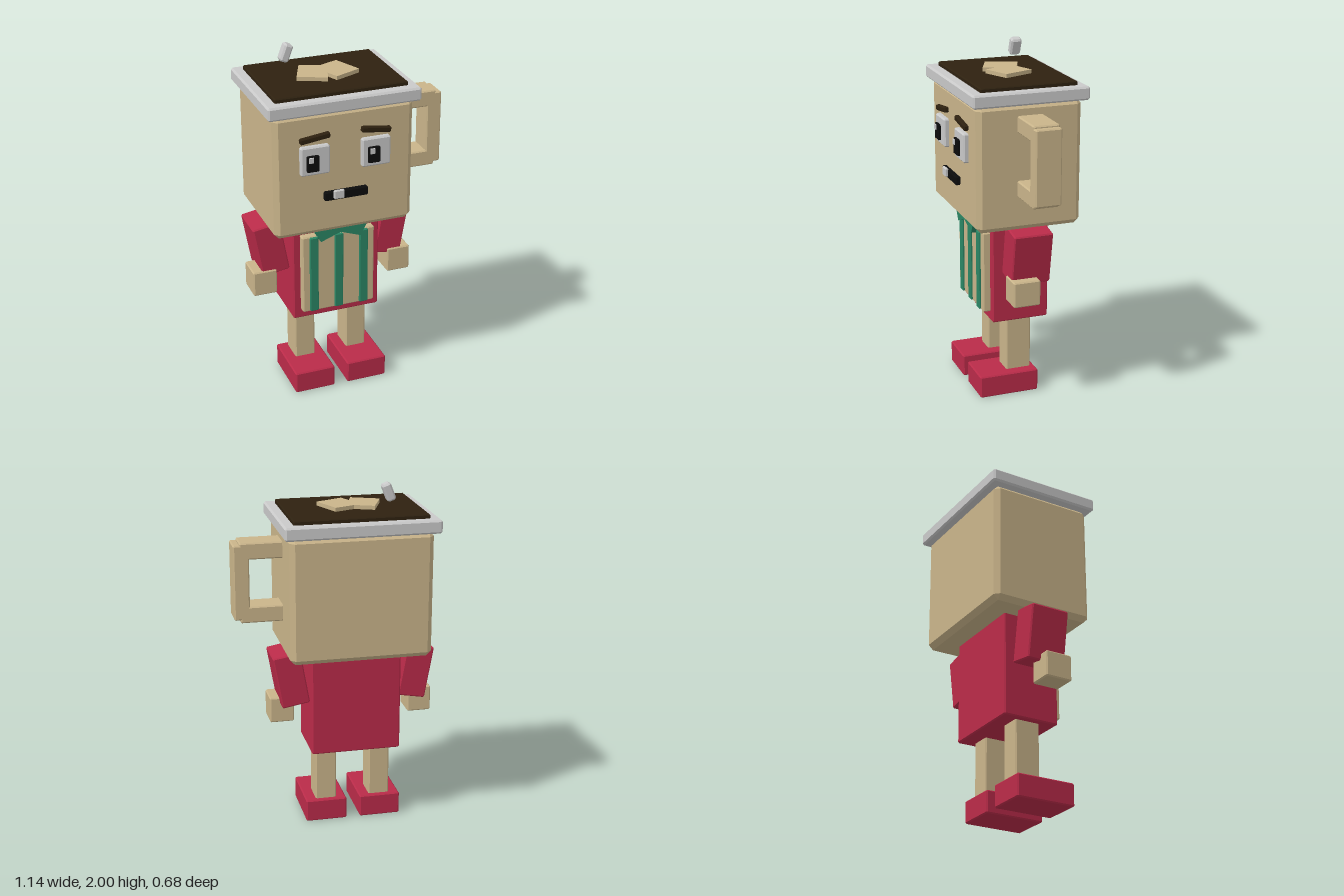
import * as THREE from 'three';
import { ConvexGeometry } from 'three/addons/geometries/ConvexGeometry.js';

const mat = (name, color) => {
  const m = new THREE.MeshStandardMaterial({ color });
  m.name = name;
  return m;
};

// Box with chamfered edges: hull of the 24 inset corner points.
function chamferBox(w, h, d, c) {
  const points = [];
  const [x, y, z] = [w / 2, h / 2, d / 2];
  for (const sx of [-1, 1]) for (const sy of [-1, 1]) for (const sz of [-1, 1]) {
    points.push(new THREE.Vector3(sx * x, sy * (y - c), sz * (z - c)));
    points.push(new THREE.Vector3(sx * (x - c), sy * y, sz * (z - c)));
    points.push(new THREE.Vector3(sx * (x - c), sy * (y - c), sz * z));
  }
  return new ConvexGeometry(points);
}

export function createModel() {
  const tan = mat('tan', 0xc9b48a);
  const red = mat('red', 0xba2b49);
  const green = mat('green', 0x2b8765);
  const grey = mat('light grey', 0xc9c9c9);
  const brown = mat('dark brown', 0x2e2110);
  const black = mat('black', 0x0c0c0c);

  const model = new THREE.Group();
  model.name = 'mugFigure';
  const CX = -0.098; // body's mirror line

  function add(name, geometry, material, x = 0, y = 0, z = 0, tilt = 0) {
    const mesh = new THREE.Mesh(geometry, material);
    mesh.name = name;
    mesh.position.set(x, y, z);
    mesh.rotation.z = tilt;
    model.add(mesh);
    return mesh;
  }
  // Box given by its extents on each axis.
  const box = (name, material, [x0, x1], [y0, y1], [z0, z1], c = 0.007) =>
    add(name, chamferBox(x1 - x0, y1 - y0, z1 - z0, c), material,
      (x0 + x1) / 2, (y0 + y1) / 2, (z0 + z1) / 2);

  const plate = (points, depth) => new THREE.ExtrudeGeometry(
    new THREE.Shape(points.map(([x, y]) => new THREE.Vector2(x, y))),
    { depth, bevelEnabled: false });

  // Mug head, rim and drink
  box('head', tan, [-0.495, 0.3], [1.04, 1.75], [-0.31, 0.292], 0.028);
  box('rim', grey, [-0.528, 0.332], [1.745, 1.82], [-0.342, 0.322], 0.01);
  box('drink', brown, [-0.472, 0.276], [1.81, 1.843], [-0.29, 0.262], 0.006);

  // Folded foam patch floating on the drink
  const foam = add('foamPatch', plate([
    [-0.277, -0.046], [-0.124, -0.113], [-0.1, -0.045], [-0.072, -0.113],
    [0.081, -0.046], [0.012, 0.125], [-0.1, 0.08], [-0.206, 0.125],
  ], 0.025), tan, 0, 1.84, 0);
  foam.rotation.x = -Math.PI / 2;
  add('floatingPeg', chamferBox(0.05, 0.1, 0.062, 0.01), grey, -0.277, 1.943, -0.135, -0.37);

  // Mug handle
  const hz = [-0.085, 0.063];
  box('handleTop', tan, [0.28, 0.535], [1.592, 1.685], hz);
  box('handleBottom', tan, [0.28, 0.535], [1.233, 1.325], hz);
  box('handleGrip', tan, [0.483, 0.57], [1.25, 1.672], hz);

  // Face
  [[-0.354, 0.13], [-0.007, -0.13]].forEach(([x, tilt]) => {
    box('eye', grey, [x, x + 0.164], [1.408, 1.572], [0.28, 0.32], 0.008);
    box('pupil', black, [x + 0.031, x + 0.098], [1.434, 1.525], [0.31, 0.336], 0.004);
    box('glint', grey, [x + 0.038, x + 0.066], [1.488, 1.52], [0.334, 0.342], 0.002);
    add('eyebrow', chamferBox(0.17, 0.032, 0.028, 0.006), brown, x + 0.083, 1.615, 0.304, tilt * Math.sign(1));
  });
  box('mouth', black, [-0.223, 0.026], [1.246, 1.297], [0.296, 0.326], 0.006);
  box('tooth', grey, [-0.175, -0.115], [1.257, 1.307], [0.322, 0.341], 0.005);

  // Torso, striped shirt front and bow tie
  box('torso', red, [-0.354, 0.158], [0.45, 1.06], [-0.174, 0.158]);
  box('shirtPanel', tan, [-0.312, 0.116], [0.505, 0.98], [0.15, 0.2]);
  for (const x of [-0.246, CX, 0.05]) {
    box('shirtStripe', green, [x - 0.025, x + 0.025], [0.51, 0.975], [0.17, 0.212], 0.005);
  }
  add('bowTie', plate([
    [-0.27, 1.06], [-0.215, 0.957], [-0.1, 1.0], [0.019, 0.957], [0.074, 1.06],
  ], 0.065), green, 0, 0, 0.172);

  // Mirrored limbs
  for (const s of [-1, 1]) {
    const across = (a, b) => [CX + s * a, CX + s * b].sort((p, q) => p - q);
    add('arm', chamferBox(0.16, 0.305, 0.226, 0.007), red, CX + s * 0.361, 0.888, -0.01, -s * 0.174);
    box('hand', tan, across(0.335, 0.473), [0.615, 0.763], [-0.047, 0.11]);
    box('leg', tan, across(0.098, 0.218), [0.12, 0.46], [-0.085, 0.063]);
    box('foot', red, across(0.04, 0.278), [0, 0.13], [-0.11, 0.24]);
  }
  return model;
}
